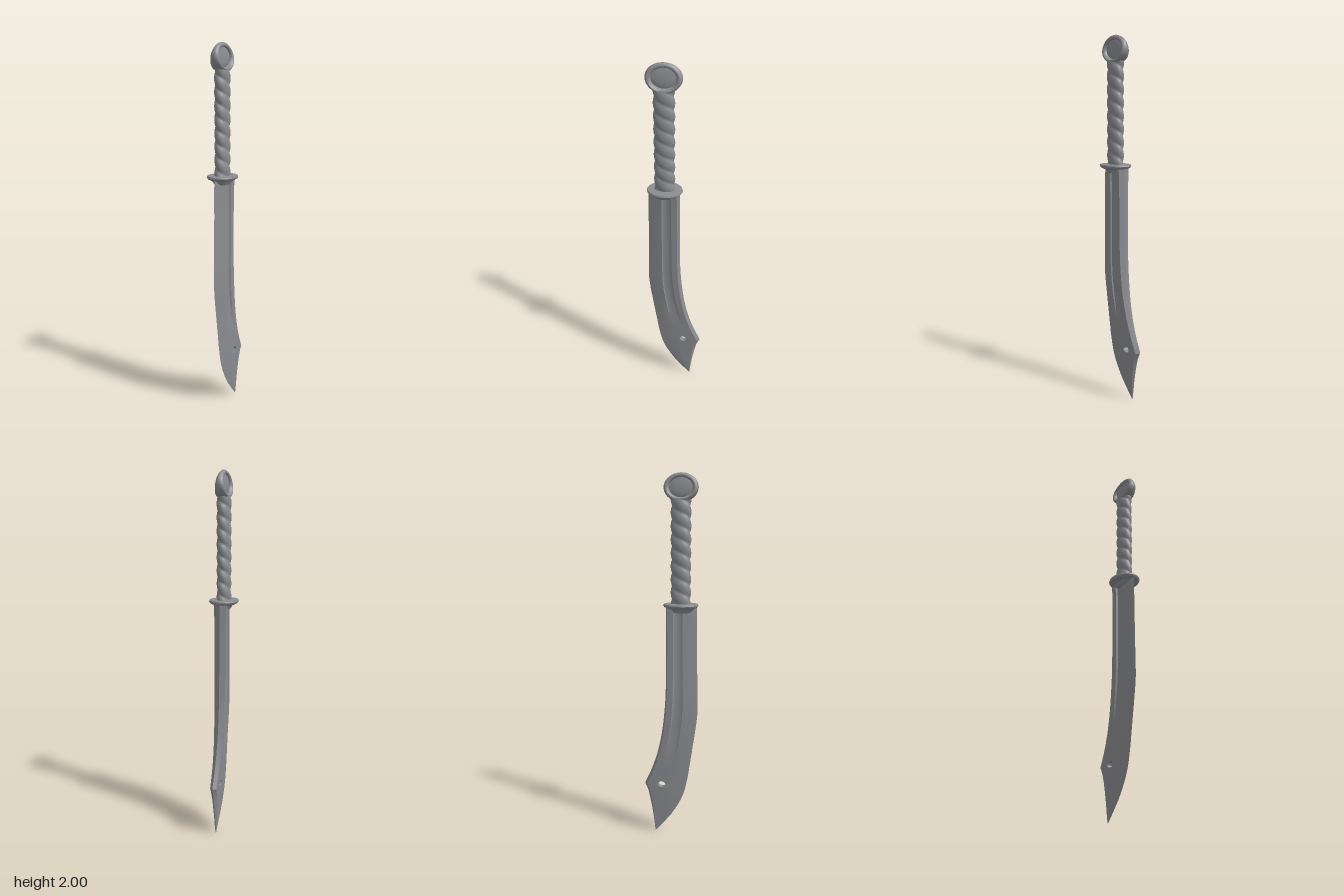
import * as THREE from 'three';
import { toCreasedNormals } from 'three/addons/utils/BufferGeometryUtils.js';

const AXIS_Z = 0.054; // centre line of the hilt

function mesh(name, geometry, material) {
  const m = new THREE.Mesh(geometry, material);
  m.name = name;
  return m;
}

// Blade: rows of [height, cutting edge z, spine z, half thickness]
const ROWS = [
  [1.30, 0.142, -0.026, 0.036], [1.24, 0.143, -0.026, 0.033], [1.10, 0.144, -0.026, 0.031],
  [0.95, 0.146, -0.027, 0.031], [0.80, 0.148, -0.030, 0.030], [0.72, 0.150, -0.036, 0.029],
  [0.65, 0.143, -0.043, 0.028], [0.58, 0.133, -0.053, 0.026], [0.52, 0.124, -0.065, 0.024],
  [0.46, 0.115, -0.080, 0.022], [0.40, 0.106, -0.100, 0.020], [0.35, 0.099, -0.120, 0.019],
  [0.305, 0.090, -0.141, 0.018], [0.285, 0.086, -0.150, 0.018], [0.265, 0.081, -0.140, 0.017],
  [0.24, 0.074, -0.130, 0.016], [0.20, 0.058, -0.121, 0.013], [0.15, 0.031, -0.111, 0.011],
  [0.10, -0.002, -0.103, 0.008], [0.05, -0.044, -0.096, 0.006], [0.00, -0.089, -0.090, 0.002],
];
// Position from edge to spine, thickness there, depth of the fuller
const COLS = [
  [0, 0, 0], [0.2, 0.45, 0], [0.44, 0.8, 0], [0.46, 0.82, 0.28], [0.5, 0.84, 0.36], [0.59, 0.88, 0.4],
  [0.68, 0.92, 0.36], [0.72, 0.94, 0.28], [0.75, 0.95, 0], [0.93, 1, 0], [1, 0, 0],
];
const HOLE = { row: 13, col: 5, z: -0.052, y: 0.288, rz: 0.023, ry: 0.018 };
// Grid neighbours of the hole centre, going round the rim
const RIM = [[0, 1], [-1, 1], [-1, 0], [-1, -1], [0, -1], [1, -1], [1, 0], [1, 1]];

function bladeGeometry() {
  const grid = ROWS.map(([y, zEdge, zSpine, t]) => COLS.map(([u, w, groove]) => {
    const fade = THREE.MathUtils.smoothstep(y, 0.4, 0.6);
    return [t * (w - groove * fade), y, THREE.MathUtils.lerp(zEdge, zSpine, u)];
  }));
  // Pull the rim vertices onto an ellipse
  RIM.forEach(([di, dj], k) => {
    const a = k * Math.PI / 4, p = grid[HOLE.row + di][HOLE.col + dj];
    p[1] = HOLE.y + HOLE.ry * Math.sin(a);
    p[2] = HOLE.z - HOLE.rz * Math.cos(a);
  });
  const pos = [];
  const flip = ([x, y, z]) => [-x, y, z];
  const quad = (a, b, c, d) => pos.push(...a, ...b, ...c, ...a, ...c, ...d);
  for (let i = 0; i < ROWS.length - 1; i++) {
    for (let j = 0; j < COLS.length - 1; j++) {
      const inHole = (i === HOLE.row || i === HOLE.row - 1) && (j === HOLE.col || j === HOLE.col - 1);
      if (inHole) continue;
      const a = grid[i][j], b = grid[i + 1][j], c = grid[i + 1][j + 1], d = grid[i][j + 1];
      quad(a, b, c, d);
      quad(flip(d), flip(c), flip(b), flip(a));
    }
  }
  // Wall of the hole
  RIM.forEach(([di, dj], k) => {
    const [ei, ej] = RIM[(k + 1) % RIM.length];
    const p = grid[HOLE.row + di][HOLE.col + dj], q = grid[HOLE.row + ei][HOLE.col + ej];
    quad(p, q, flip(q), flip(p));
  });
  const g = new THREE.BufferGeometry();
  g.setAttribute('position', new THREE.Float32BufferAttribute(pos, 3));
  return toCreasedNormals(g, 0.45);
}

// Grip: an oval rod with a two-start twisted wrap
function gripGeometry() {
  const g = new THREE.CylinderGeometry(1, 1, 0.56, 40, 110, true);
  const p = g.attributes.position;
  for (let i = 0; i < p.count; i++) {
    const y = p.getY(i), angle = Math.atan2(p.getX(i), p.getZ(i));
    const r = 0.84 + 0.18 * Math.pow(Math.abs(Math.cos(angle + Math.PI * y / 0.07)), 0.7);
    p.setXYZ(i, 0.037 * r * Math.sin(angle), y + 1.59, AXIS_Z + 0.054 * r * Math.cos(angle));
  }
  g.computeVertexNormals();
  return g;
}

// Pommel pieces get thinner towards the top
function taperPommel(g, thickness) {
  g.rotateY(Math.PI / 2);
  const p = g.attributes.position;
  for (let i = 0; i < p.count; i++) {
    const y = p.getY(i);
    const half = THREE.MathUtils.mapLinear(y, -0.075, 0.075, 0.036, 0.011);
    p.setX(i, p.getX(i) * half * thickness);
  }
  g.translate(0, 1.925, AXIS_Z);
  g.computeVertexNormals();
  return g;
}

export function createModel() {
  const steel = new THREE.MeshStandardMaterial({ color: 0x8c8d91 });
  steel.name = 'grey steel';
  const sword = new THREE.Group();
  sword.name = 'sword';

  sword.add(mesh('blade', bladeGeometry(), steel));

  // Oval guard with a bevelled underside
  const profile = [[0, 1.288], [0.72, 1.29], [0.95, 1.3], [1, 1.308], [0.97, 1.316], [0, 1.318]]
    .map(([r, y]) => new THREE.Vector2(r, y));
  const guard = toCreasedNormals(new THREE.LatheGeometry(profile, 40).scale(0.079, 1, 0.095), 0.5);
  sword.add(mesh('guard', guard.translate(0, 0, AXIS_Z), steel));

  // Collar flaring from blade to guard
  const collar = new THREE.CylinderGeometry(1, 0.72, 0.025, 32).scale(0.05, 1, 0.078);
  sword.add(mesh('collar', collar.translate(0, 1.282, AXIS_Z), steel));

  sword.add(mesh('grip', gripGeometry(), steel));

  // Pommel: oval ring around a recessed disc
  const ring = new THREE.TorusGeometry(0.077, 0.0155, 16, 48).scale(1, 0.81, 1 / 0.0155);
  sword.add(mesh('pommelRing', taperPommel(ring, 1), steel));
  const disc = new THREE.SphereGeometry(1, 32, 16).scale(0.074, 0.06, 1);
  sword.add(mesh('pommelDisc', taperPommel(disc, 0.6), steel));

  return sword;
}
